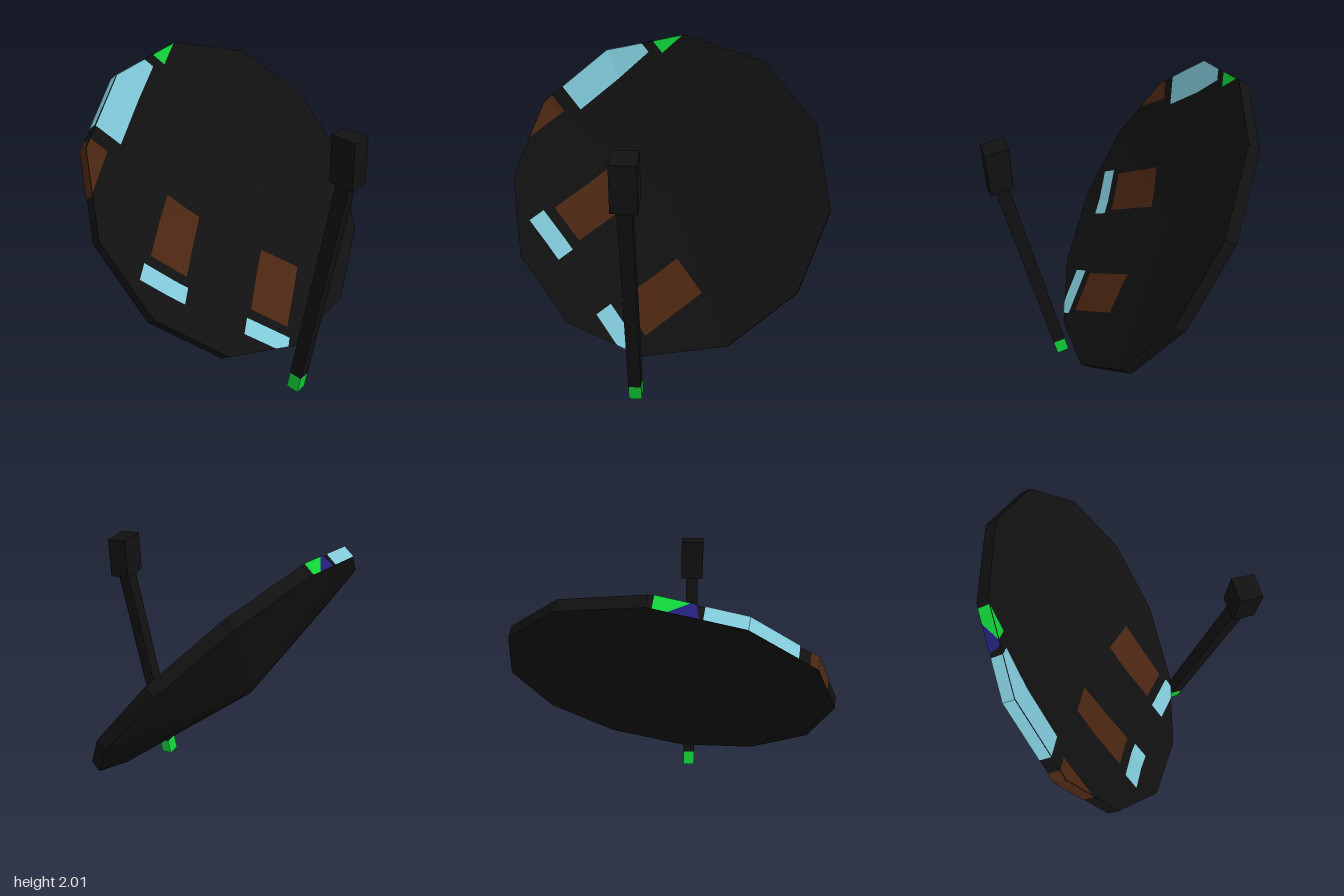
import * as THREE from 'three';

const R = 1.025, A = R * Math.cos(Math.PI / 12), DEPTH = 0.2, T = 0.075, LIFT = 0.004;

function material(name, color) {
  const m = new THREE.MeshStandardMaterial({ color, flatShading: true, side: THREE.DoubleSide });
  m.name = name;
  return m;
}

// Keep the part of a polygon where p . (nx, ny) <= c
function clip(poly, nx, ny, c) {
  const out = [];
  poly.forEach((p, i) => {
    const q = poly[(i + 1) % poly.length];
    const dp = p[0] * nx + p[1] * ny - c, dq = q[0] * nx + q[1] * ny - c;
    if (dp <= 0) out.push(p);
    if (dp * dq < 0) {
      const t = dp / (dp - dq);
      out.push([p[0] + t * (q[0] - p[0]), p[1] + t * (q[1] - p[1])]);
    }
  });
  return out;
}

function fan(points, positions) {
  for (let i = 1; i + 1 < points.length; i++) positions.push(...points[0], ...points[i], ...points[i + 1]);
}

function meshFrom(name, positions, mat) {
  const g = new THREE.BufferGeometry();
  g.setAttribute('position', new THREE.Float32BufferAttribute(positions, 3));
  g.computeVertexNormals();
  const mesh = new THREE.Mesh(g, mat);
  mesh.name = name;
  return mesh;
}

// Painted rectangle laid over the twelve facets of the dish
function facePatch(name, x0, x1, y0, y1, mat) {
  const positions = [];
  for (let i = 0; i < 12; i++) {
    const th = i * Math.PI / 6, lo = th - Math.PI / 12, hi = th + Math.PI / 12;
    const mx = Math.cos(th), my = Math.sin(th);
    let poly = [[x0, y0], [x1, y0], [x1, y1], [x0, y1]];
    poly = clip(poly, -Math.sin(hi), Math.cos(hi), 0);
    poly = clip(poly, Math.sin(lo), -Math.cos(lo), 0);
    poly = clip(poly, mx, my, A);
    fan(poly.map(([x, y]) => [x, y, LIFT - DEPTH * (1 - (x * mx + y * my) / A)]), positions);
  }
  return meshFrom(name, positions, mat);
}

// Painted strip on one rim side, from front x-range to back x-range
function rimPatch(name, degrees, f0, f1, b0, b1, mat) {
  const th = THREE.MathUtils.degToRad(degrees), positions = [];
  const at = (x, z) => [x, (A + LIFT - x * Math.cos(th)) / Math.sin(th), z];
  fan([at(f0, LIFT), at(b0, -T), at(b1, -T), at(f1, LIFT)], positions);
  return meshFrom(name, positions, mat);
}

function place(object, x, y, z, origin) {
  object.applyMatrix4(new THREE.Matrix4().makeBasis(x, y, z).setPosition(...origin));
  return object;
}

export function createModel() {
  const V = (x, y, z) => new THREE.Vector3(x, y, z);
  const black = material('black', 0x111111), blue = material('paleBlue', 0x80c8d8);
  const brown = material('brown', 0x4b2612), green = material('green', 0x10d038);
  const navy = material('navy', 0x221e78);
  const model = new THREE.Group();
  model.name = 'dishAndRod';

  // Shallow twelve-sided dish, opening along local +z
  const dish = new THREE.Group();
  dish.name = 'dish';
  const profile = [[0, -DEPTH - T], [R, -T], [R, 0], [0, -DEPTH]].map(p => new THREE.Vector2(...p));
  const shell = new THREE.Mesh(new THREE.LatheGeometry(profile, 12, Math.PI / 12).rotateX(Math.PI / 2), black);
  shell.name = 'dishShell';
  dish.add(shell);

  // Panels inside the dish
  dish.add(
    facePatch('brownPanelMiddle', 0.2, 0.635, -0.39, -0.12, brown),
    facePatch('brownPanelSide', 0.2, 0.635, 0.36, 0.635, brown),
    facePatch('brownPanelEdge', 0.2, 0.635, -1.2, -0.862, brown),
    facePatch('bluePanelMiddle', 0.7, 0.81, -0.42, -0.095, blue),
    facePatch('bluePanelSide', 0.7, 0.81, 0.34, 0.66, blue),
    facePatch('bluePanelEdge', -0.47, 0.11, -1.2, -0.8, blue),
    facePatch('greenPanelEdge', -0.7, -0.535, -1.2, -0.737, green));

  // Panels wrapped onto the rim
  dish.add(
    rimPatch('blueRimUpper', 240, -0.47, -0.265, -0.47, -0.265, blue),
    rimPatch('blueRimMiddle', 270, -0.265, 0.11, -0.265, 0.11, blue),
    rimPatch('blueRimLower', 30, 0.763, 0.81, 0.763, 0.81, blue),
    rimPatch('brownRimUpper', 270, 0.2, 0.265, 0.2, 0.265, brown),
    rimPatch('brownRimLower', 300, 0.265, 0.51, 0.265, 0.51, brown),
    rimPatch('greenRim', 240, -0.7, -0.535, -0.7, -0.63, green),
    rimPatch('navyRim', 240, -0.535, -0.51, -0.63, -0.49, navy));
  const normal = V(0.682, 0.538, 0.493).normalize();
  const across = V(-0.107, -0.595, 0.799).projectOnPlane(normal).normalize();
  model.add(place(dish, across, normal.clone().cross(across), normal, [-0.004, 1.145, 0.021]));

  // Leaning square rod with a coloured foot
  const foot = V(0.445, 0.007, 0.39), top = V(0.69, 1.46, 0.51);
  const axis = top.clone().sub(foot), length = axis.length(), tip = 0.11;
  axis.normalize();
  const side = V(-0.44, 0, 0.898).normalize();
  const rod = new THREE.Group();
  rod.name = 'rod';
  [['rodFoot', 0, tip, green], ['rodShaft', tip, length, black]].forEach(([name, a, b, mat]) => {
    const mesh = new THREE.Mesh(new THREE.BoxGeometry(0.08, b - a, 0.08), mat);
    mesh.name = name;
    mesh.position.y = (a + b) / 2;
    rod.add(mesh);
  });
  model.add(place(rod, axis.clone().cross(side), axis, side, foot.toArray()));

  // Upright head block with sloping ends
  const block = new THREE.BoxGeometry(0.14, 0.265, 0.145);
  const pos = block.attributes.position;
  for (let i = 0; i < pos.count; i++) pos.setY(i, pos.getY(i) - 0.2 * pos.getX(i));
  block.computeVertexNormals();
  const head = new THREE.Mesh(block, black);
  head.name = 'rodHead';
  const up = V(0, 1, 0);
  model.add(place(head, up.clone().cross(side), up, side, [0.692, 1.58, 0.51]));
  return model;
}
